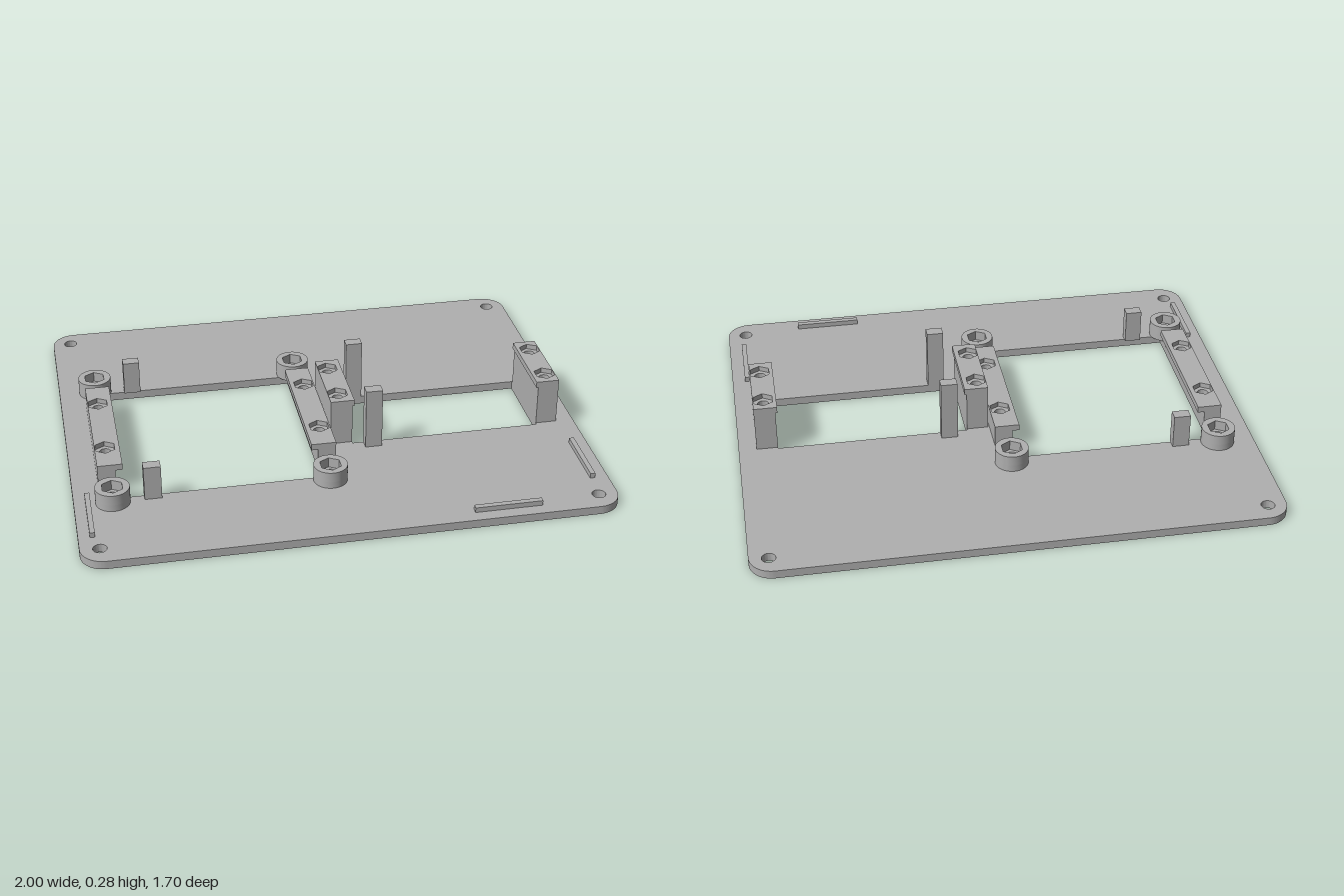
import * as THREE from 'three';
import { toCreasedNormals } from 'three/addons/utils/BufferGeometryUtils.js';

const PLATE = 0.033;

// Closed outlines drawn in plan (x, z)
function rect(x0, x1, z0, z1, Type = THREE.Shape) {
  return new Type([[x0, z0], [x1, z0], [x1, z1], [x0, z1]].map(([x, z]) => new THREE.Vector2(x, -z)));
}
function ring(x, z, r, sides = 32, Type = THREE.Path) {
  const pts = [];
  for (let i = 0; i < sides; i++) {
    const a = Math.PI / 2 + (i / sides) * Math.PI * 2;
    pts.push(new THREE.Vector2(x + r * Math.cos(a), -z + r * Math.sin(a)));
  }
  return new Type(pts);
}

export function createModel() {
  const model = new THREE.Group();
  model.name = 'mountingPlate';
  const grey = new THREE.MeshStandardMaterial({ color: 0xb0b0b0 });
  grey.name = 'grey plastic';

  // Extrude a plan outline between two heights
  function layer(name, shape, holes, y0, y1, parent = model) {
    shape.holes.push(...holes);
    let g = new THREE.ExtrudeGeometry(shape, { depth: y1 - y0, bevelEnabled: false, curveSegments: 12 });
    g.rotateX(-Math.PI / 2);
    g.translate(0, y0, 0);
    g = toCreasedNormals(g, 0.5);
    const mesh = new THREE.Mesh(g, grey);
    mesh.name = name;
    parent.add(mesh);
  }
  function block(name, x0, x1, z0, z1, top) {
    const mesh = new THREE.Mesh(new THREE.BoxGeometry(x1 - x0, top - PLATE, z1 - z0), grey);
    mesh.position.set((x0 + x1) / 2, (top + PLATE) / 2, (z0 + z1) / 2);
    mesh.name = name;
    model.add(mesh);
  }

  // Base plate with rounded corners, two windows and screw holes
  const r = 0.09, w = 1, d = 0.85;
  const outline = new THREE.Shape();
  outline.absarc(w - r, d - r, r, 0, Math.PI / 2);
  outline.absarc(-w + r, d - r, r, Math.PI / 2, Math.PI);
  outline.absarc(-w + r, -d + r, r, Math.PI, Math.PI * 1.5);
  outline.absarc(w - r, -d + r, r, Math.PI * 1.5, Math.PI * 2);
  outline.closePath();
  const standoffs = [];
  for (const x of [-0.855, -0.035]) for (const z of [-0.34, 0.48]) standoffs.push([x, z]);
  const plateHoles = [
    rect(-0.833, -0.06, -0.315, 0.46, THREE.Path),
    rect(0.1, 0.847, -0.1, 0.245, THREE.Path),
    ...standoffs.map(([x, z]) => ring(x, z, 0.026)),
  ];
  for (const x of [-0.927, 0.927]) for (const z of [-0.772, 0.768]) plateHoles.push(ring(x, z, 0.026));
  layer('basePlate', outline, plateHoles, 0, PLATE);

  // Round standoffs with a hexagonal nut pocket
  for (const [x, z] of standoffs) {
    const group = new THREE.Group();
    group.name = 'standoff';
    model.add(group);
    layer('standoffBase', ring(x, z, 0.065, 40, THREE.Shape), [ring(x, z, 0.026)], PLATE, 0.06, group);
    layer('standoffPocket', ring(x, z, 0.065, 40, THREE.Shape), [ring(x, z, 0.043, 6)], 0.06, 0.1, group);
  }

  // Mounting rails: a body with a wider top lip over the window, and nut pockets
  // outer = edge away from the window, body = body edge, lip = lip edge
  function rail(name, outer, body, lip, z0, z1, top, cx, zs) {
    const group = new THREE.Group();
    group.name = name;
    model.add(group);
    const span = (a, b) => rect(Math.min(a, b), Math.max(a, b), z0, z1);
    const bores = () => zs.map((z) => ring(cx, z, 0.022));
    layer(name + 'Body', span(outer, body), bores(), PLATE, top - 0.025, group);
    layer(name + 'LipBase', span(outer, lip), bores(), top - 0.025, top - 0.02, group);
    layer(name + 'Lip', span(outer, lip), zs.map((z) => ring(cx, z, 0.042, 6)), top - 0.02, top, group);
  }
  rail('largeRailRight', -0.9, -0.833, -0.805, -0.223, 0.365, 0.12, -0.86, [-0.095, 0.235]);
  rail('largeRailLeft', 0.01, -0.06, -0.086, -0.223, 0.365, 0.12, -0.032, [-0.095, 0.235]);
  rail('smallRailRight', 0.015, 0.1, 0.108, -0.093, 0.235, 0.22, 0.053, [-0.03, 0.17]);
  rail('smallRailLeft', 0.93, 0.847, 0.839, -0.093, 0.235, 0.22, 0.89, [-0.03, 0.17]);

  // Upright guide posts beside each window
  for (const [z0, z1] of [[-0.348, -0.305], [0.445, 0.488]]) block('shortPost', -0.738, -0.673, z0, z1, 0.17);
  for (const [z0, z1] of [[-0.14, -0.098], [0.241, 0.285]]) block('tallPost', 0.143, 0.208, z0, z1, 0.28);

  // Thin ridges near the plate edges
  block('rightRidge', -0.957, -0.938, 0.433, 0.695, 0.053);
  block('leftRidge', 0.93, 0.949, 0.4, 0.66, 0.053);
  block('frontRidge', 0.443, 0.7, 0.78, 0.801, 0.053);

  return model;
}
